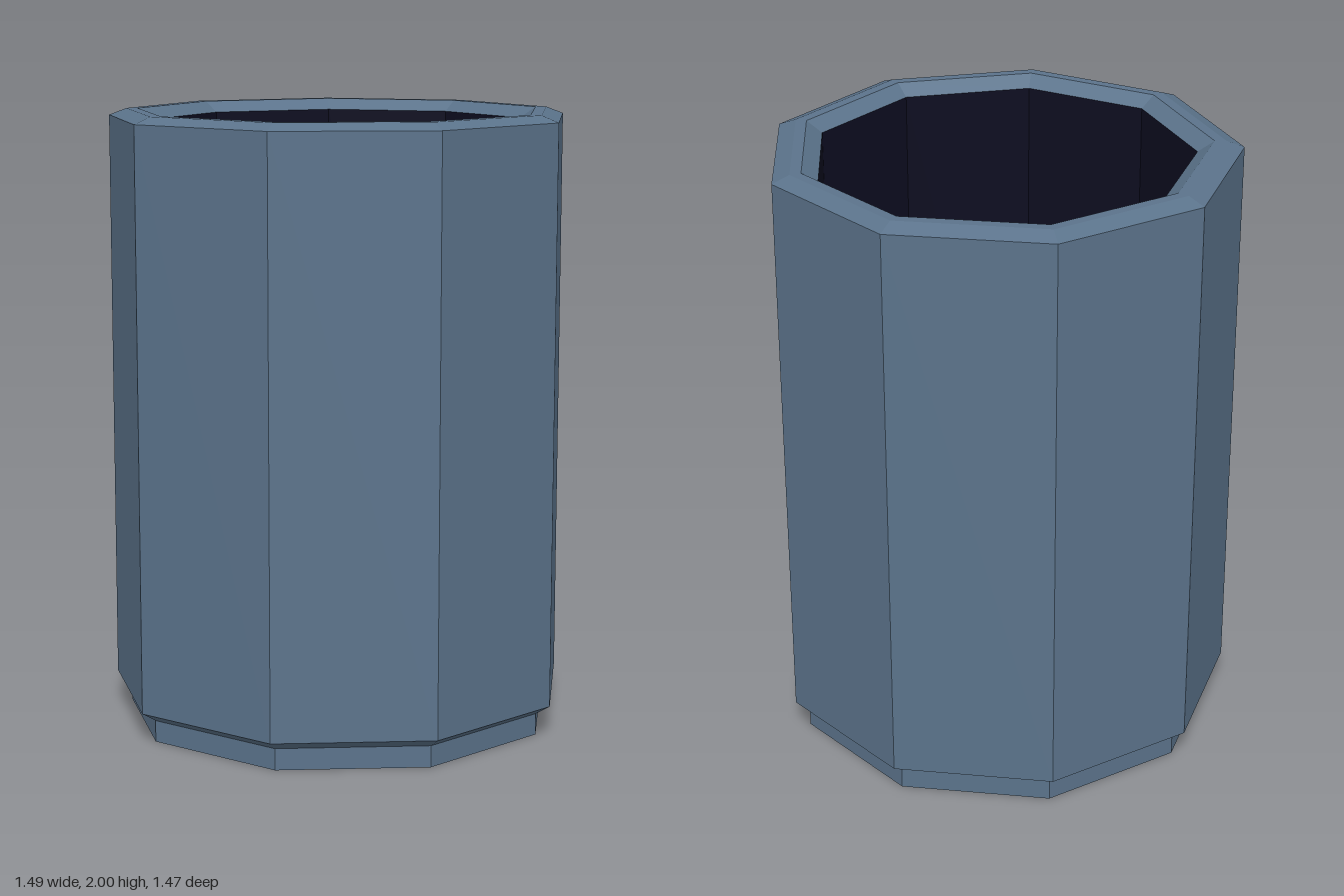
import * as THREE from 'three';

const SIDES = 9;

const steel = new THREE.MeshStandardMaterial({ color: 0x5b738b, flatShading: true });
steel.name = 'slate blue';
const dark = new THREE.MeshStandardMaterial({ color: 0x0d0d20, flatShading: true });
dark.name = 'dark interior';

// Nine-sided turned part from [radius, height] pairs, one corner pointing back
function turned(name, profile, material) {
  const points = profile.map(([r, y]) => new THREE.Vector2(r, y));
  const geometry = new THREE.LatheGeometry(points, SIDES, Math.PI).toNonIndexed();
  geometry.computeVertexNormals();
  const mesh = new THREE.Mesh(geometry, material);
  mesh.name = name;
  return mesh;
}

export function createModel() {
  const group = new THREE.Group();
  group.name = 'container';

  // Recessed foot with closed underside
  group.add(turned('foot', [[0, 0], [0.71, 0], [0.71, 0.07]], steel));

  // Outer wall with bevelled lower and upper edges
  group.add(turned('body', [[0.71, 0.07], [0.758, 0.1], [0.758, 1.978], [0.7, 2]], steel));

  // Flat rim and its inward chamfer
  group.add(turned('rim', [[0.7, 2], [0.663, 2], [0.61, 1.965]], steel));

  // Dark inner wall and floor
  group.add(turned('liner', [[0.61, 1.965], [0.61, 0.1], [0, 0.1]], dark));

  // Centre the odd-sided outline front to back
  group.children.forEach((part) => { part.position.z = 0.023; });
  return group;
}
